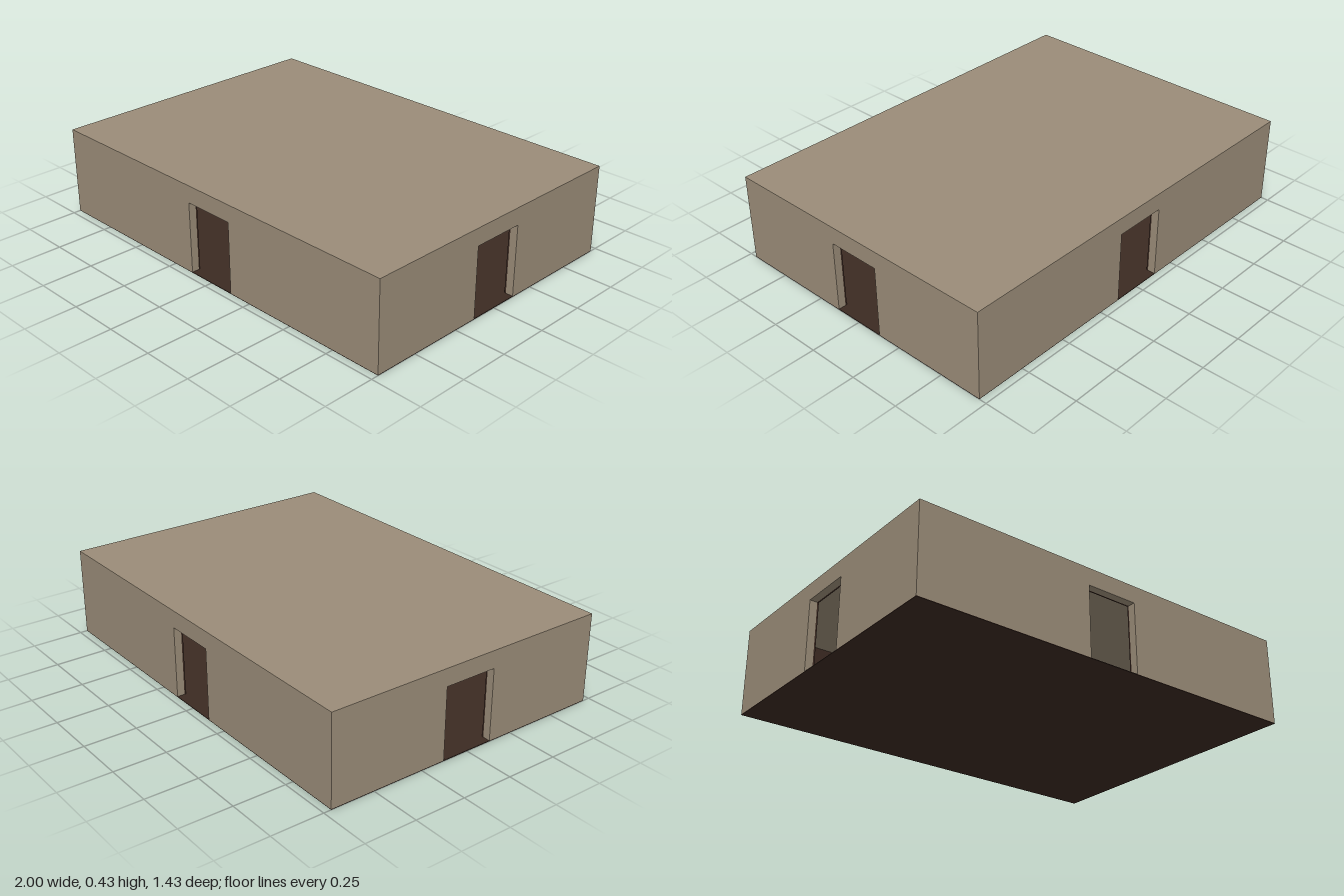
import * as THREE from 'three';

const HALF_X = 1, HALF_Z = 0.714, HEIGHT = 0.43;
const PLATE = 0.003, WALL = 0.036, LINING = 0.008;
const DOOR_HALF = 0.13, DOOR_TOP = 0.346;

// Upright slab with a doorway cut from its bottom edge; its outer face lies at z = outer.
function doorwaySlab(halfWidth, outer, thickness) {
  const top = HEIGHT - PLATE;
  const shape = new THREE.Shape([
    [-halfWidth, PLATE], [-DOOR_HALF, PLATE], [-DOOR_HALF, DOOR_TOP], [DOOR_HALF, DOOR_TOP],
    [DOOR_HALF, PLATE], [halfWidth, PLATE], [halfWidth, top], [-halfWidth, top],
  ].map(([x, y]) => new THREE.Vector2(x, y)));
  return new THREE.ExtrudeGeometry(shape, { depth: thickness, bevelEnabled: false })
    .translate(0, 0, outer - thickness);
}

export function createModel() {
  const stone = new THREE.MeshStandardMaterial({ color: 0x9a8c78 });
  stone.name = 'stone';
  const darkBrown = new THREE.MeshStandardMaterial({ color: 0x3c2a22 });
  darkBrown.name = 'darkBrown';

  const model = new THREE.Group();
  model.name = 'room';
  const add = (name, geometry, material) => {
    const mesh = new THREE.Mesh(geometry, material);
    mesh.name = name;
    model.add(mesh);
    return mesh;
  };

  // Floor and flat roof
  add('floor', new THREE.BoxGeometry(HALF_X * 2, PLATE, HALF_Z * 2), darkBrown)
    .position.y = PLATE / 2;
  add('roof', new THREE.BoxGeometry(HALF_X * 2, PLATE, HALF_Z * 2), stone)
    .position.y = HEIGHT - PLATE / 2;

  // Four walls with doorways, each with a thin dark lining inside
  ['front', 'left', 'back', 'right'].forEach((side, i) => {
    const isSide = i % 2 === 1;
    const outer = isSide ? HALF_X : HALF_Z;
    const halfWidth = isSide ? HALF_Z - WALL : HALF_X;
    const liningHalf = isSide ? HALF_Z - WALL - LINING : HALF_X - WALL;
    const angle = i * Math.PI / 2;
    add(side + 'Wall', doorwaySlab(halfWidth, outer, WALL), stone).rotation.y = angle;
    add(side + 'Lining', doorwaySlab(liningHalf, outer - WALL, LINING), darkBrown).rotation.y = angle;
  });

  return model;
}
